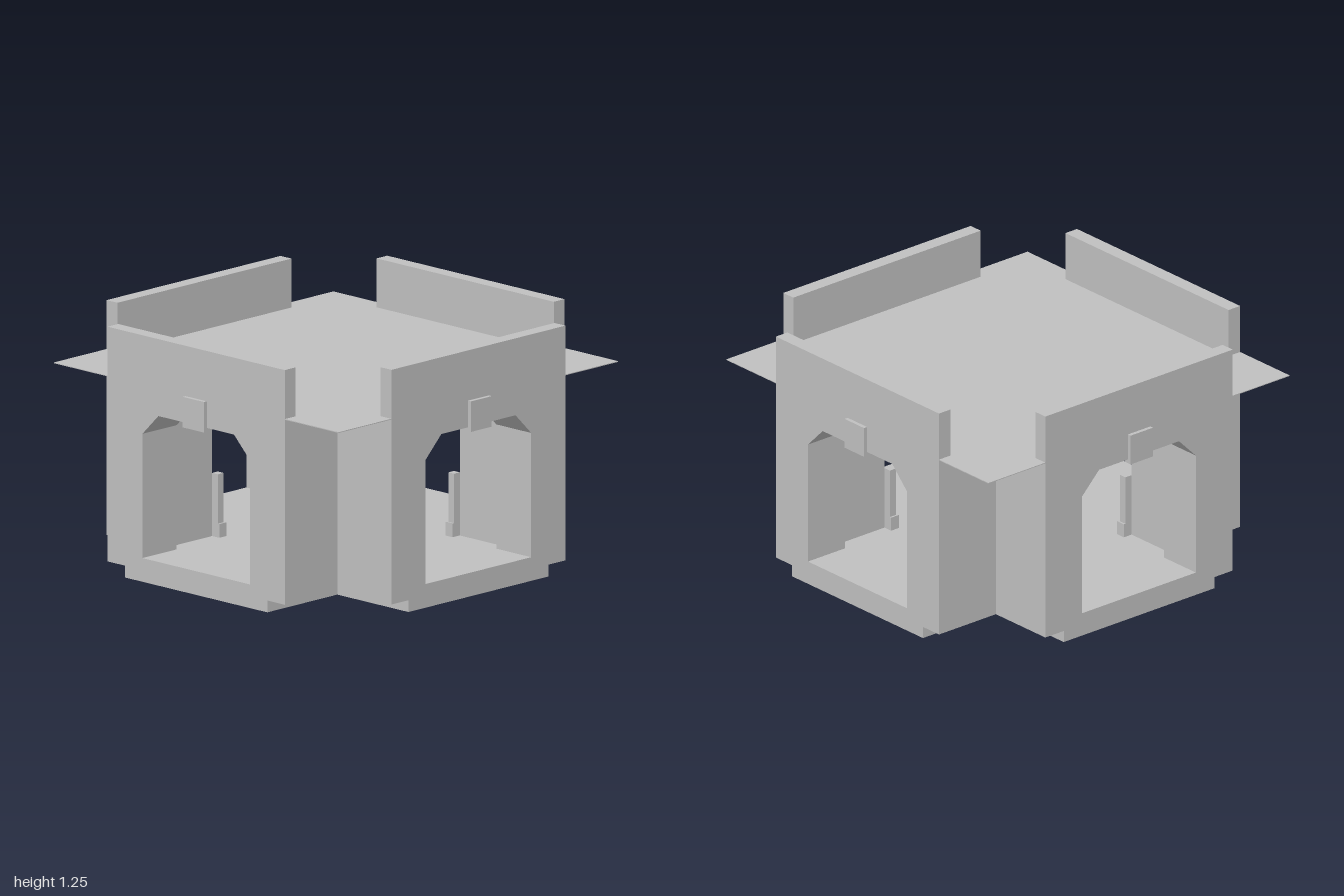
import * as THREE from 'three';

const stone = new THREE.MeshStandardMaterial({ color: 0xc0c0c0 });
stone.name = 'stone grey';

const OUT = 0.98, ARM = 0.61, INNER = 0.43, WALL_BACK = 0.74;

function add(parent, name, geometry) {
  const mesh = new THREE.Mesh(geometry, stone);
  mesh.name = name;
  parent.add(mesh);
  return mesh;
}

// box given by its lower and upper limits
function block(parent, name, [x0, y0, z0], [x1, y1, z1]) {
  const g = new THREE.BoxGeometry(x1 - x0, y1 - y0, z1 - z0);
  g.translate((x0 + x1) / 2, (y0 + y1) / 2, (z0 + z1) / 2);
  return add(parent, name, g);
}

// cross-shaped slab with arms of half width a
function crossSlab(parent, name, a, y0, y1) {
  const pts = [[a, a], [a, OUT], [-a, OUT], [-a, a], [-OUT, a], [-OUT, -a],
    [-a, -a], [-a, -OUT], [a, -OUT], [a, -a], [OUT, -a], [OUT, a]];
  const shape = new THREE.Shape(pts.map(p => new THREE.Vector2(...p)));
  const g = new THREE.ExtrudeGeometry(shape, { depth: y1 - y0, bevelEnabled: false });
  g.rotateX(-Math.PI / 2).translate(0, y0, 0);
  add(parent, name, g);
}

// one outer wall with its chamfered doorway, parapet and keystone
function doorwayWall() {
  const side = new THREE.Group();
  const v = (x, y) => new THREE.Vector2(x, y);
  // the doorway reaches the floor, so the outline wraps around it
  const shape = new THREE.Shape([
    v(-ARM, 0.12), v(-0.37, 0.12), v(-0.37, 0.75), v(-0.26, 0.86),
    v(0.26, 0.86), v(0.37, 0.75), v(0.37, 0.12), v(ARM, 0.12),
    v(ARM, 1), v(-ARM, 1),
  ]);
  const g = new THREE.ExtrudeGeometry(shape, { depth: OUT - WALL_BACK, bevelEnabled: false });
  g.translate(0, 0, WALL_BACK);
  add(side, 'doorwayWall', g);
  block(side, 'parapet', [-ARM, 1, 0.905], [ARM, 1.25, OUT]);
  block(side, 'keystone', [-0.073, 0.84, 0.96], [0.073, 0.995, 1]);
  return side;
}

// walls around one inner corner of the cross, with a short post inside
function innerCorner() {
  const corner = new THREE.Group();
  block(corner, 'armWall', [INNER, 0.12, INNER], [ARM, 1, WALL_BACK]);
  block(corner, 'armWall', [ARM, 0.12, INNER], [WALL_BACK, 1, ARM]);
  // remaining outer skin of the arms is carried by the doorway walls
  block(corner, 'cornerPost', [0.39, 0.12, 0.39], [INNER, 0.44, INNER]);
  block(corner, 'postPlinth', [0.38, 0.12, 0.38], [INNER, 0.19, INNER]);
  return corner;
}

export function createModel() {
  const model = new THREE.Group();
  model.name = 'crossShapedRoom';

  // stepped floor
  crossSlab(model, 'base', 0.49, 0, 0.06);
  crossSlab(model, 'floor', ARM, 0.06, 0.12);

  // four identical sides and corners
  for (let i = 0; i < 4; i++) {
    const side = doorwayWall();
    side.name = 'side' + (i + 1);
    side.rotation.y = i * Math.PI / 2;
    const corner = innerCorner();
    corner.name = 'corner' + (i + 1);
    corner.rotation.y = i * Math.PI / 2;
    model.add(side, corner);
  }

  // thin square roof overhanging the notched corners
  block(model, 'roof', [-OUT, 0.998, -OUT], [OUT, 1.002, OUT]);

  // floor grate
  for (let i = -2; i <= 2; i++) {
    block(model, 'grateBar', [i * 0.06 - 0.015, 0.12, -0.145], [i * 0.06 + 0.015, 0.127, 0.145]);
  }

  // small pot standing beside a corner
  const pot = add(model, 'pot', new THREE.CylinderGeometry(0.024, 0.02, 0.055, 6).toNonIndexed());
  pot.geometry.computeVertexNormals();
  pot.position.set(-0.35, 0.1475, 0.35);

  return model;
}
